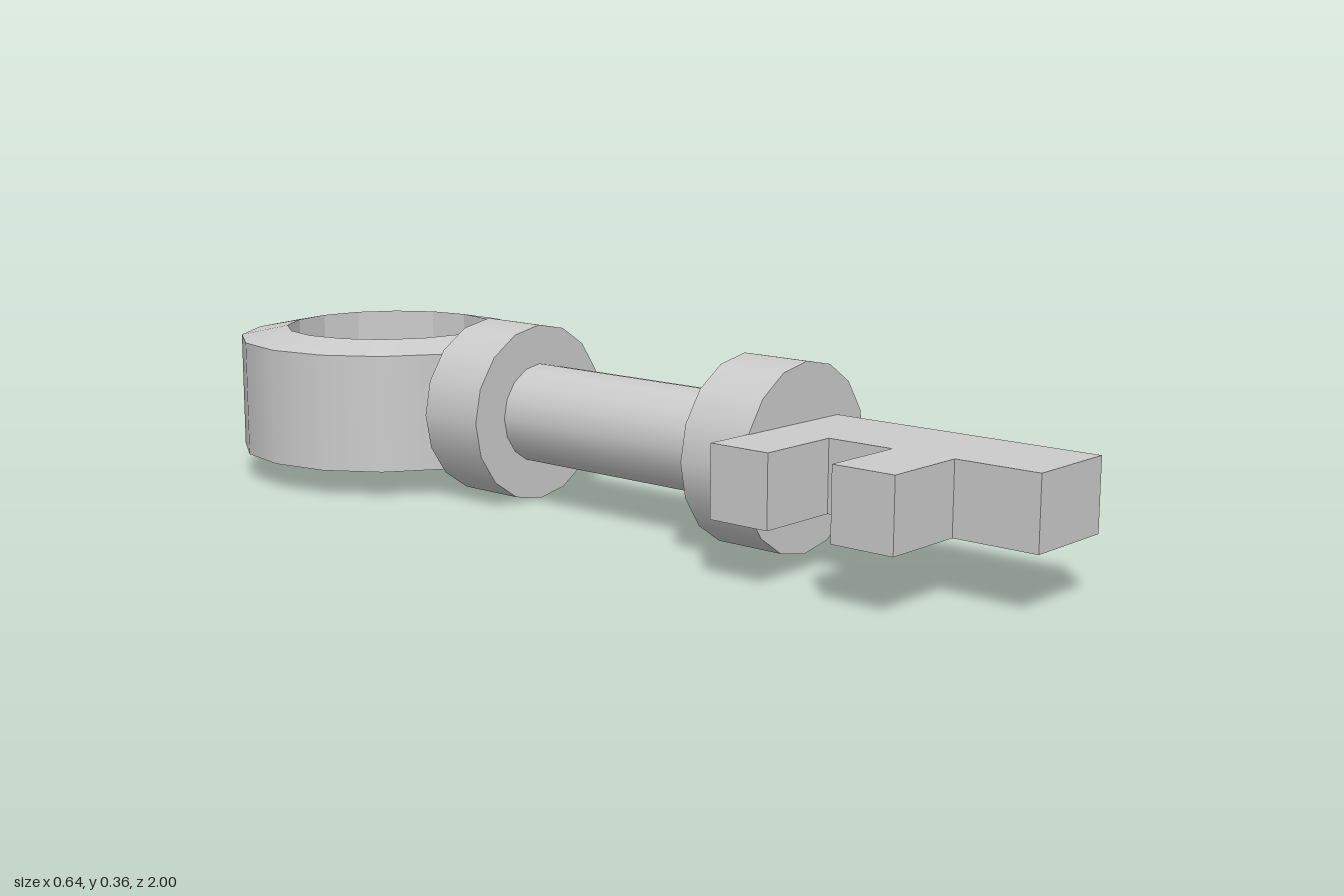
import * as THREE from 'three';

export function createModel() {
  const key = new THREE.Group();
  key.name = 'key';
  const smooth = new THREE.MeshStandardMaterial({ color: 0xcccccc });
  const flat = new THREE.MeshStandardMaterial({ color: 0xcccccc, flatShading: true });
  const SIDES = 16, AXIS_X = -0.005, AXIS_Y = 0.18;

  const add = (name, geometry, material, parent = key) => {
    const mesh = new THREE.Mesh(geometry, material);
    mesh.name = name;
    parent.add(mesh);
    return mesh;
  };

  // Round part lying along z, from z0 to z1
  const rod = (name, radius, z0, z1) => {
    const geometry = new THREE.CylinderGeometry(radius, radius, z1 - z0, SIDES);
    geometry.rotateX(Math.PI / 2);
    add(name, geometry, smooth).position.set(AXIS_X, AXIS_Y, (z0 + z1) / 2);
  };
  rod('shaft', 0.1, -0.225, 0.312);
  rod('frontCollar', 0.179, 0.31, 0.455);
  rod('backCollar', 0.179, -0.368, -0.222);

  // Bow: a ring whose sloping rims rise towards the hole
  const bow = new THREE.Group();
  bow.name = 'bow';
  bow.position.z = -0.682;
  key.add(bow);
  const outerLow = [0.319, 0.056], outerHigh = [0.319, 0.295];
  const innerLow = [0.22, 0.035], innerHigh = [0.22, 0.315];
  const strips = [
    ['bowOuterWall', outerLow, outerHigh, smooth],
    ['bowTopRim', outerHigh, innerHigh, smooth],
    ['bowInnerWall', innerHigh, innerLow, flat],
    ['bowBottomRim', innerLow, outerLow, smooth],
  ];
  for (const [name, from, to, material] of strips) {
    const profile = [new THREE.Vector2(...from), new THREE.Vector2(...to)];
    add(name, new THREE.LatheGeometry(profile, SIDES), material, bow);
  }

  // Bit: blade with two teeth, outlined in x and z
  const outline = [
    [-0.27, 0.452], [0.09, 0.452], [0.09, 1], [-0.1, 1], [-0.1, 0.835],
    [-0.27, 0.835], [-0.27, 0.71], [-0.1, 0.71], [-0.1, 0.577], [-0.27, 0.577],
  ].map(([x, z]) => new THREE.Vector2(x, z));
  const bit = new THREE.ExtrudeGeometry(new THREE.Shape(outline), { depth: 0.135, bevelEnabled: false });
  bit.rotateX(Math.PI / 2);
  add('bit', bit, flat).position.y = 0.248;

  return key;
}
